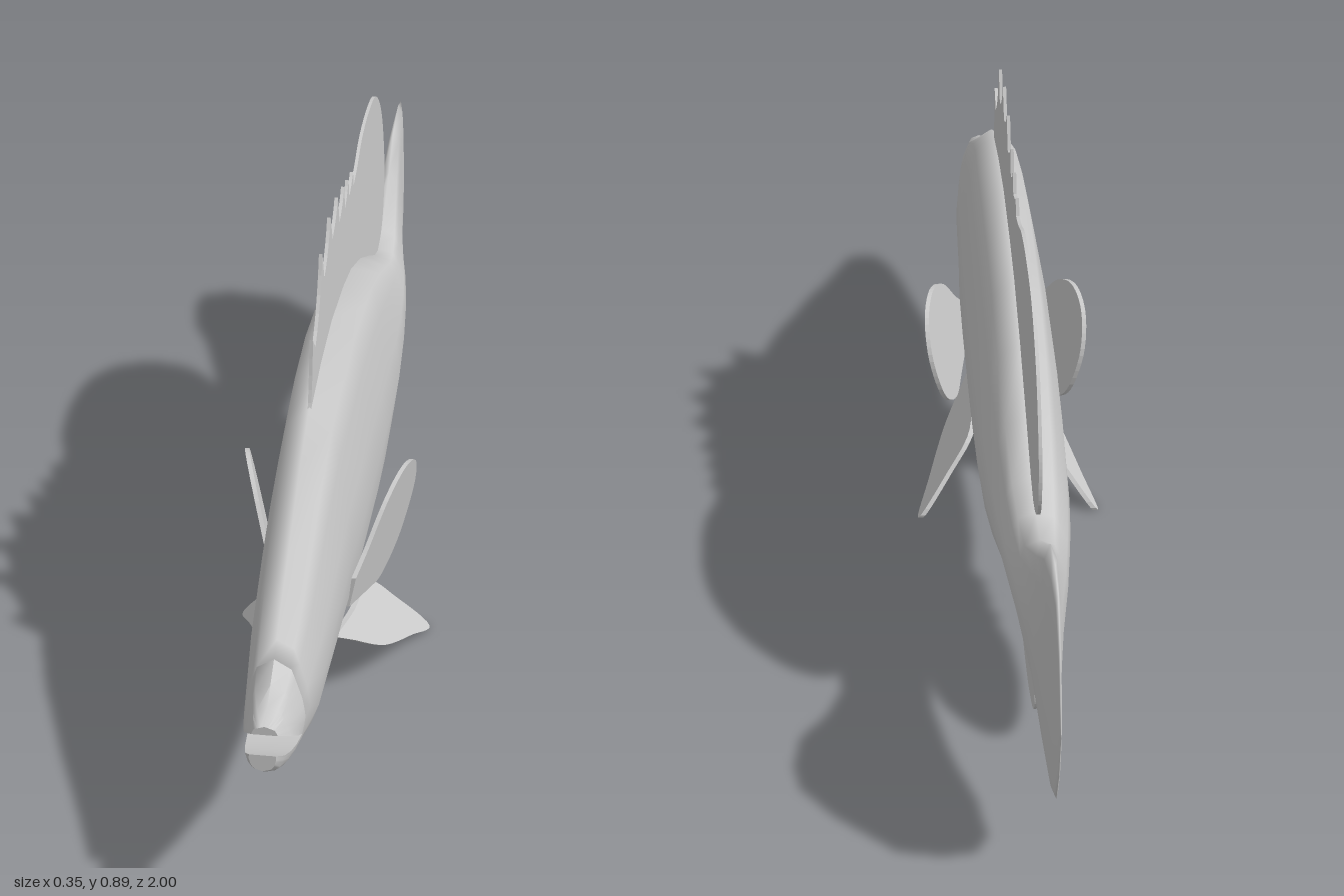
import * as THREE from 'three';
import { mergeVertices, toCreasedNormals } from 'three/addons/utils/BufferGeometryUtils.js';

// Body stations from nose to tail: z, top y, bottom y, half width
const STATIONS = [
  [1, .385, .327, .022], [.977, .396, .308, .032], [.945, .41, .29, .04], [.9, .432, .268, .047],
  [.84, .465, .246, .053], [.74, .525, .203, .063], [.57, .62, .18, .07], [.46, .665, .17, .074],
  [.33, .685, .16, .08], [.195, .69, .152, .082], [.035, .672, .14, .082], [-.07, .65, .145, .082],
  [-.206, .6, .166, .08], [-.34, .535, .225, .074], [-.447, .48, .28, .066], [-.52, .457, .297, .058],
  [-.6, .457, .282, .048], [-.715, .53, .22, .03], [-.795, .588, .166, .02], [-.876, .605, .148, .011],
  [-.93, .59, .18, .007], [-.97, .51, .257, .004], [-1, .37, .36, .001],
];
// Cross-section: height fraction, width fraction
const SECTION = [[0, 0], [.03, .4], [.08, .63], [.2, .84], [.42, 1], [.6, .92], [.8, .69], [.93, .53], [1, 0]];

// Linear lookup in rows sorted by their first column
function lookup(rows, key, col) {
  const up = rows[rows.length - 1][0] > rows[0][0];
  let i = 1;
  while (i < rows.length - 1 && (up ? rows[i][0] < key : rows[i][0] > key)) i++;
  const a = rows[i - 1], b = rows[i];
  return THREE.MathUtils.lerp(a[col], b[col], (key - a[0]) / (b[0] - a[0]));
}

// One closed ring at z, optionally cut off below yLow or above yHigh
function ring(z, yLow = -Infinity, yHigh = Infinity) {
  const [top, bottom, half] = [1, 2, 3].map((c) => lookup(STATIONS, z, c));
  const lo = Math.max(0, (yLow - bottom) / (top - bottom));
  const hi = Math.min(1, (yHigh - bottom) / (top - bottom));
  const side = SECTION.map(([f], i) => {
    const g = lo === 0 && hi === 1 ? f : lo + (hi - lo) * i / (SECTION.length - 1);
    return [half * lookup(SECTION, g, 1), bottom + g * (top - bottom), z];
  });
  return [...side, ...side.slice().reverse().map(([x, y, d]) => [-x, y, d])];
}

// Skin through rings running from front to back, with both ends closed
function loft(rings) {
  const n = rings[0].length, index = [], points = rings.flat();
  for (let i = 0; i < rings.length - 1; i++) {
    for (let j = 0; j < n; j++) {
      const a = i * n + j, b = i * n + (j + 1) % n;
      index.push(a, a + n, b, b, a + n, b + n);
    }
  }
  const last = (rings.length - 1) * n;
  for (let j = 1; j < n - 1; j++) index.push(0, j, j + 1, last, last + j + 1, last + j);
  const geometry = new THREE.BufferGeometry();
  geometry.setAttribute('position', new THREE.Float32BufferAttribute(points.flat(), 3));
  geometry.setIndex(index);
  const merged = mergeVertices(geometry, 1e-5);
  merged.computeVertexNormals();
  return merged;
}

const v = ([z, y]) => new THREE.Vector2(-z, y);

// Thin fin plate drawn in (z, y), then moved sideways by offset(y, z)
function finPlate(shape, thickness, offset = () => 0) {
  const geometry = new THREE.ExtrudeGeometry(shape, { depth: thickness, bevelEnabled: false, curveSegments: 5 });
  geometry.translate(0, 0, -thickness / 2).rotateY(Math.PI / 2);
  const p = geometry.attributes.position;
  for (let i = 0; i < p.count; i++) p.setX(i, p.getX(i) + offset(p.getY(i), p.getZ(i)));
  geometry.computeVertexNormals();
  return geometry;
}

// Fin outline: spines (tip and the notch behind it), a rounded soft part, then the hidden base
function spinyFin(start, spines, soft, base) {
  const shape = new THREE.Shape();
  let from = start;
  shape.moveTo(-start[0], start[1]);
  for (const [tipZ, tipY, notchZ, notchY] of spines) {
    const cz = from[0] + (tipZ - from[0]) * .7, cy = from[1] + (tipY - from[1]) * .3;
    shape.quadraticCurveTo(-cz, cy, -tipZ, tipY);
    shape.lineTo(-notchZ, notchY);
    from = [notchZ, notchY];
  }
  shape.splineThru(soft.map(v));
  for (const [z, y] of base) shape.lineTo(-z, y);
  shape.closePath();
  return shape;
}

function roundFin(points) {
  const shape = new THREE.Shape();
  shape.moveTo(-points[0][0], points[0][1]);
  shape.splineThru(points.slice(1).map(v));
  shape.closePath();
  return shape;
}

export function createModel() {
  const model = new THREE.Group();
  model.name = 'fish';
  const grey = new THREE.MeshStandardMaterial({ color: 0xcccccc });
  grey.name = 'plainGrey';
  const add = (name, geometry) => {
    const mesh = new THREE.Mesh(geometry, grey);
    mesh.name = name;
    model.add(mesh);
  };

  // Body and tail in one skin, starting at the corner of the mouth
  const mouthZ = .87;
  add('bodyAndTail', loft([ring(mouthZ), ...STATIONS.filter((s) => s[0] < mouthZ).map((s) => ring(s[0]))]));

  // Snout and lower jaw, parted by the open mouth
  const snout = [[.977, .38], [.945, .358], [.91, .333], [mouthZ, .305]];
  const jaw = [[1, .358], [.977, .343], [.945, .328], [.91, .315], [mouthZ, .305]];
  add('snout', toCreasedNormals(loft(snout.map(([z, y]) => ring(z, y))), .8));
  add('lowerJaw', toCreasedNormals(loft(jaw.map(([z, y]) => ring(z, undefined, y))), .8));

  // Fins on the centre line
  add('dorsalFin', finPlate(spinyFin(
    [.46, .655],
    [[.43, .78, .40, .75], [.31, .878, .287, .82], [.206, .894, .18, .84], [.11, .884, .088, .825],
      [.024, .862, .013, .814], [-.035, .846, -.046, .809], [-.1, .83, -.11, .8]],
    [[-.16, .81], [-.235, .835], [-.34, .84], [-.45, .82], [-.54, .75], [-.59, .655], [-.603, .58],
      [-.587, .51], [-.545, .472], [-.48, .462]],
    [[-.26, .5], [0, .58], [.33, .6]]), .006));
  add('analFin', finPlate(spinyFin(
    [-.06, .155],
    [[-.147, .085, -.15, .112], [-.19, .075, -.195, .1], [-.245, .06, -.245, .09]],
    [[-.31, .055], [-.4, .04], [-.48, .043], [-.555, .065], [-.59, .1], [-.59, .145], [-.565, .2],
      [-.52, .24], [-.45, .255]],
    [[-.42, .31], [-.3, .27], [-.07, .19]]), .014));

  // Paired fins
  const pectoral = roundFin([[.43, .31], [.39, .345], [.33, .41], [.26, .437], [.195, .412], [.163, .34],
    [.185, .245], [.25, .2], [.32, .215], [.43, .25]]);
  const pelvic = roundFin([[.44, .19], [.32, .165], [.2, .148], [.155, .085], [.122, .004], [.205, .038],
    [.315, .09], [.39, .15]]);
  for (const [side, name] of [[1, 'left'], [-1, 'right']]) {
    add(name + 'PectoralFin', finPlate(pectoral, .008, (y, z) => side * (.066 + .19 * (y - .28) + .25 * (.43 - z))));
    add(name + 'PelvicFin', finPlate(pelvic, .01, (y) => side * (.036 + .73 * (.19 - y))));
  }
  return model;
}
